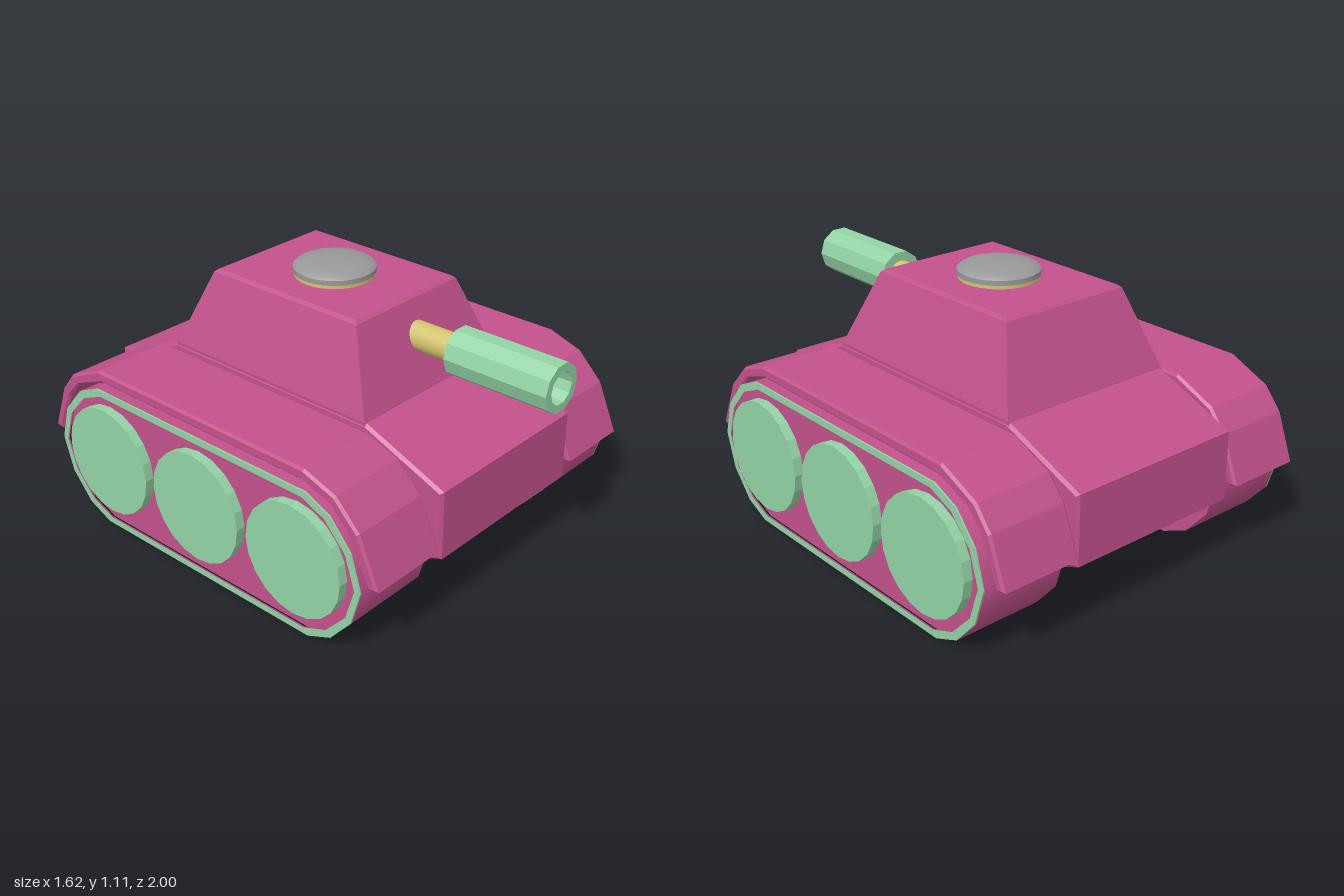
import * as THREE from 'three';
import { toCreasedNormals } from 'three/addons/utils/BufferGeometryUtils.js';

const MID_Z = -0.085;
const paint = (color, flatShading = false) => new THREE.MeshStandardMaterial({ color, flatShading });
const magenta = paint(0xc2528c);
const mint = paint(0x93d3a5);
const mintFlat = paint(0x93d3a5, true);
const yellow = paint(0xd2c471);
const grey = paint(0x999999);

function add(parent, name, geometry, material) {
  const mesh = new THREE.Mesh(geometry, material);
  mesh.name = name;
  parent.add(mesh);
  return mesh;
}

// Extrudes a [z, y] side profile across the width from xa to xb
function slab(profile, xa, xb, bevel = 0, hole = null) {
  const toPoints = (list) => list.map(([z, y]) => new THREE.Vector2(-z, y));
  const shape = new THREE.Shape(toPoints(profile));
  if (hole) shape.holes.push(new THREE.Path(toPoints(hole)));
  const g = new THREE.ExtrudeGeometry(shape, {
    depth: Math.abs(xb - xa) - 2 * bevel,
    bevelEnabled: bevel > 0,
    bevelThickness: bevel,
    bevelSize: bevel,
    bevelOffset: -bevel,
    bevelSegments: 1,
  });
  return g.rotateY(Math.PI / 2).translate(Math.min(xa, xb) + bevel, 0, 0);
}

// Rounded track outline, shrunk inwards by t
function trackOutline(t) {
  const front = [[0.49, 0], [0.605, 0.05], [0.705, 0.165], [0.75, 0.315],
    [0.705, 0.465], [0.605, 0.58], [0.49, 0.63]];
  const rear = front.map(([z, y]) => [2 * MID_Z - z, y]).reverse();
  const sz = 1 - t / 0.835, sy = 1 - t / 0.315;
  return [...front, ...rear].map(([z, y]) => [MID_Z + (z - MID_Z) * sz, 0.315 + (y - 0.315) * sy]);
}

// Solid lofted through rectangles [y, halfWidth, zFront, zBack]
function rectLoft(levels) {
  const pos = [];
  const ring = ([y, w, f, b]) => [[-w, y, f], [w, y, f], [w, y, b], [-w, y, b]];
  const quad = (a, b, c, d) => pos.push(...a, ...b, ...c, ...a, ...c, ...d);
  for (let i = 0; i < levels.length - 1; i++) {
    const lo = ring(levels[i]), hi = ring(levels[i + 1]);
    for (let k = 0; k < 4; k++) {
      const n = (k + 1) % 4;
      quad(lo[k], lo[n], hi[n], hi[k]);
    }
  }
  quad(...ring(levels[levels.length - 1]));
  quad(...ring(levels[0]).reverse());
  const g = new THREE.BufferGeometry();
  g.setAttribute('position', new THREE.Float32BufferAttribute(pos, 3));
  g.computeVertexNormals();
  return g;
}

function lathe(points, segments) {
  const g = new THREE.LatheGeometry(points.map(([r, y]) => new THREE.Vector2(r, y)), segments);
  return toCreasedNormals(g, 0.5);
}

function buildTrack(side) {
  const track = new THREE.Group();
  track.name = side > 0 ? 'leftTrack' : 'rightTrack';

  // Tread band, side plate and coloured rim
  const tread = slab(trackOutline(0), side * 0.41, side * 0.785, 0, trackOutline(0.028));
  add(track, 'tread', toCreasedNormals(tread, 0.6), magenta);
  add(track, 'sidePlate', slab(trackOutline(0.02), side * 0.411, side * 0.772), magenta);
  add(track, 'rim', slab(trackOutline(0), side * 0.785, side * 0.792, 0, trackOutline(0.028)), mint);

  // Three road wheels
  for (const offset of [0.52, 0, -0.52]) {
    const wheel = add(track, 'roadWheel', new THREE.CylinderGeometry(0.237, 0.237, 0.06, 20), mintFlat);
    wheel.rotation.z = Math.PI / 2;
    wheel.position.set(side * 0.782, 0.323, MID_Z + offset);
  }

  // Mudguard wrapping over the top of the track
  const guard = [
    [0.81, 0.335], [0.72, 0.54], [0.61, 0.65], [0.46, 0.7],
    [-0.67, 0.7], [-0.85, 0.62], [-0.925, 0.53], [-1, 0.335],
    [-0.96, 0.325], [-0.88, 0.51], [-0.81, 0.585], [-0.65, 0.65],
    [0.45, 0.65], [0.585, 0.605], [0.68, 0.51], [0.765, 0.325],
  ];
  add(track, 'mudguard', slab(guard, side * 0.42, side * 0.77, 0.01), magenta);
  return track;
}

export function createModel() {
  const model = new THREE.Group();
  model.name = 'tank';

  // Hull with sloped nose and tail
  const hull = [[0.45, 0.14], [0.8, 0.28], [0.8, 0.57], [0.43, 0.715],
    [-0.6, 0.715], [-0.97, 0.57], [-0.97, 0.28], [-0.62, 0.14]];
  add(model, 'hull', slab(hull, -0.405, 0.405, 0.012), magenta);

  // Tapered turret with a softened top edge
  add(model, 'turret', rectLoft([
    [0.69, 0.402, 0.435, -0.61],
    [0.72, 0.402, 0.425, -0.6],
    [1.038, 0.298, 0.292, -0.472],
    [1.05, 0.283, 0.277, -0.457],
  ]), magenta);

  // Hatch: collar and domed lid
  const hatch = new THREE.Group();
  hatch.name = 'hatch';
  hatch.position.set(-0.005, 0, -0.083);
  add(hatch, 'hatchCollar', lathe([[0, 1.03], [0.165, 1.03], [0.165, 1.07], [0, 1.07]], 32), yellow);
  add(hatch, 'hatchLid', lathe([[0.168, 1.065], [0.168, 1.085], [0.155, 1.096], [0.11, 1.108], [0, 1.109]], 32), grey);
  model.add(hatch);

  // Gun: thin barrel and hollow ten-sided muzzle
  const gun = new THREE.Group();
  gun.name = 'gun';
  gun.position.set(0.01, 0.904, 0);
  gun.rotation.x = Math.PI / 2;
  add(gun, 'barrel', new THREE.CylinderGeometry(0.058, 0.058, 0.37, 20).translate(0, 0.4, 0), yellow);
  const muzzle = lathe([[0, 0.54], [0.1, 0.54], [0.1, 1], [0.066, 1], [0.06, 0.8], [0, 0.8]], 10);
  add(gun, 'muzzle', muzzle.rotateY(Math.PI / 10), mintFlat);
  model.add(gun);

  for (const side of [1, -1]) model.add(buildTrack(side));
  return model;
}
